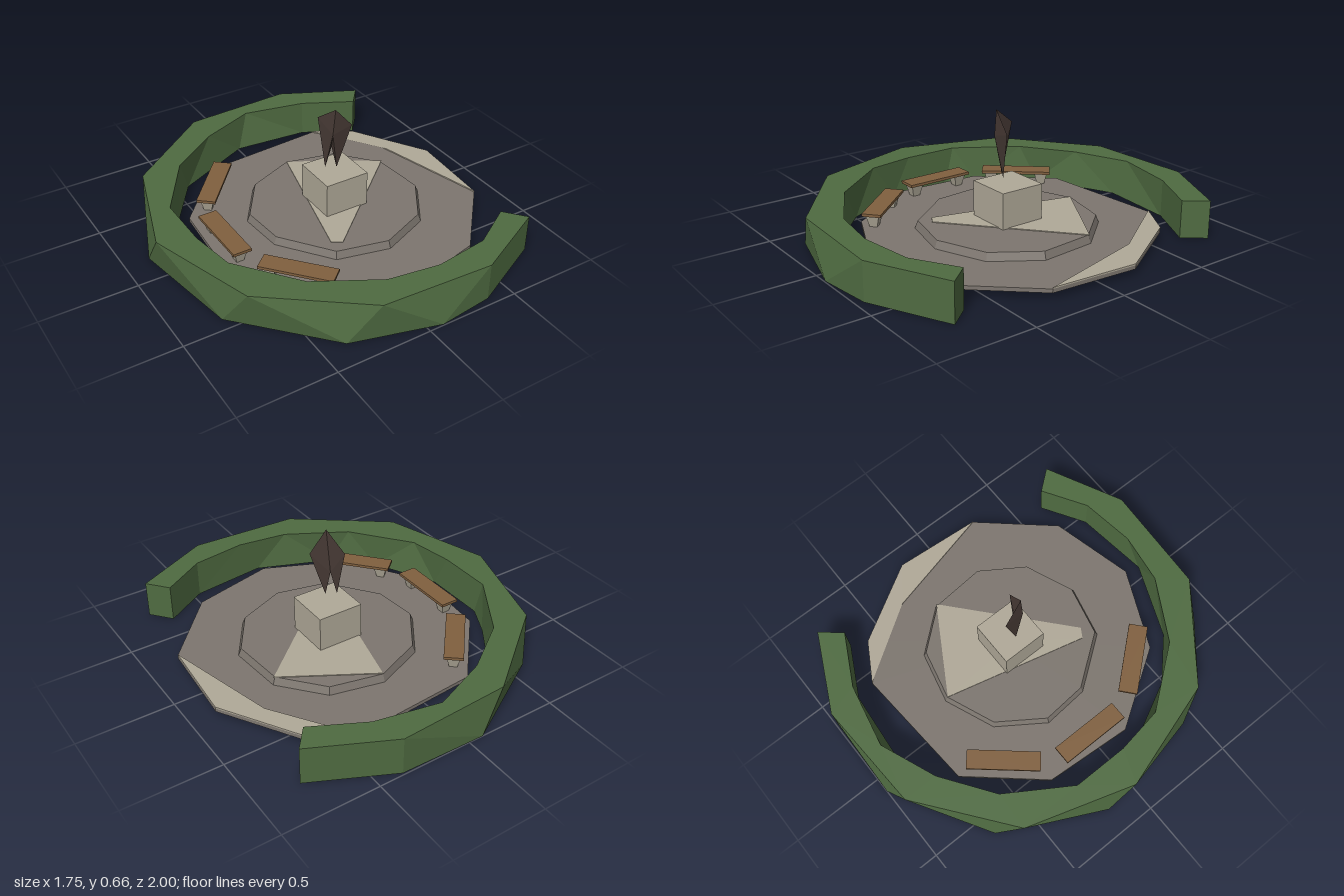
import * as THREE from 'three';

const material = (name, color) => {
  const m = new THREE.MeshStandardMaterial({ color, flatShading: true, side: THREE.DoubleSide });
  m.name = name;
  return m;
};

// Unindexed flat geometry from a list of triangles
function fromTriangles(tris) {
  const g = new THREE.BufferGeometry();
  g.setAttribute('position', new THREE.Float32BufferAttribute(tris.flat(2), 3));
  g.computeVertexNormals();
  return g;
}

// Joins two polylines of different lengths, always taking the shorter diagonal
function strip(a, b) {
  const dist = (p, q) => Math.hypot(p[0] - q[0], p[1] - q[1], p[2] - q[2]);
  const tris = [];
  let i = 0, j = 0;
  while (i < a.length - 1 || j < b.length - 1) {
    const stepA = j === b.length - 1 ||
      (i < a.length - 1 && dist(a[i + 1], b[j]) < dist(a[i], b[j + 1]));
    if (stepA) tris.push([a[i], a[++i], b[j]]);
    else tris.push([a[i], b[j + 1], b[j++]]);
  }
  return tris;
}

const atHeight = (points, y) => points.map(([x, z]) => [x, y, z]);

// Low polygonal slab; the top outline can shrink toward its middle
function slab(points, y0, y1, topScale = 1) {
  const n = points.length;
  const cx = points.reduce((s, p) => s + p[0], 0) / n;
  const cz = points.reduce((s, p) => s + p[1], 0) / n;
  const low = atHeight(points, y0);
  const high = points.map(([x, z]) => [cx + (x - cx) * topScale, y1, cz + (z - cz) * topScale]);
  const tris = [];
  for (let i = 0; i < n; i++) {
    const k = (i + 1) % n;
    tris.push([[cx, y1, cz], high[k], high[i]], [[cx, y0, cz], low[i], low[k]]);
    tris.push([low[i], high[i], high[k]], [low[i], high[k], low[k]]);
  }
  return fromTriangles(tris);
}

// C-shaped hedge with offset corners above and below
function hedgeGeometry() {
  const outerTop = atHeight([[.78, .76], [.37, .96], [-.22, .93], [-.7, .56], [-.88, -.02],
    [-.7, -.59], [-.22, -.96], [.37, -.99], [.78, -.79]], .2);
  const outerLow = atHeight([[.78, .76], [.37, .96], [.08, .995], [-.37, .87], [-.77, .43],
    [-.87, -.17], [-.6, -.7], [-.08, -1], [.37, -.99], [.78, -.79]], 0);
  const innerTop = atHeight([[.69, .65], [.46, .79], [.17, .83], [-.1, .79], [-.42, .61], [-.66, .3],
    [-.7, .05], [-.7, -.25], [-.49, -.58], [-.22, -.77], [.08, -.89], [.42, -.82], [.69, -.68]], .2);
  const innerLow = atHeight([[.69, .65], [.46, .79], [.06, .84], [-.33, .68], [-.53, .49], [-.7, .15],
    [-.7, -.2], [-.62, -.36], [-.42, -.65], [.01, -.855], [.42, -.82], [.69, -.68]], 0);
  const loops = [outerTop, outerLow, innerLow, innerTop];
  const tris = loops.flatMap((loop, i) => strip(loop, loops[(i + 1) % 4]));
  const [a, b, c, d] = loops.map((l) => l[0]);
  const [e, f, g, h] = loops.map((l) => l[l.length - 1]);
  tris.push([a, b, c], [a, c, d], [e, g, f], [e, h, g]);
  return fromTriangles(tris);
}

export function createModel() {
  const green = material('hedge green', 0x4f6b41);
  const grey = material('paving grey', 0x7d766f);
  const stone = material('pale stone', 0xb0a998);
  const wood = material('bench wood', 0x80603f);
  const bronze = material('dark bronze', 0x463934);

  const group = new THREE.Group();
  const add = (name, geometry, mat, parent = group) => {
    const mesh = new THREE.Mesh(geometry, mat);
    mesh.name = name;
    parent.add(mesh);
    return mesh;
  };

  add('hedge', hedgeGeometry(), green);

  // Paved plaza and its raised middle
  add('plaza', slab([[-.26, -.67], [.425, -.72], [.63, -.6], [.875, -.19], [.84, .28], [.52, .64],
    [.07, .75], [-.35, .56], [-.61, .16], [-.575, -.31]], .03, .05), grey);
  add('raisedStep', slab([[.1, -.48], [.38, -.415], [.565, -.195], [.59, .11], [.435, .345],
    [.165, .455], [-.115, .39], [-.315, .12], [-.335, -.13], [-.17, -.37]], .04, .09, .96), grey);

  // Pale stone showing through the paving
  add('plazaStonePatch', slab([[.425, -.72], [.63, -.6], [.875, -.19], [.84, .28], [.67, -.4]],
    .049, .057), stone);
  add('stepStonePatch', slab([[.1, -.46], [.555, -.19], [-.04, .33], [-.09, .3]], .089, .094), stone);

  // Pedestal
  add('pedestal', new THREE.BoxGeometry(.245, .2, .245), stone).position.set(.13, .18, -.015);

  // Statue: two thin angular wings sharing a ridge
  const top = [.1, .66, .035], waist = [.1, .43, 0], back = [.085, .52, .035];
  const wing = (tip, foot) => [
    [top, tip, waist], [top, back, tip], [tip, foot, waist], [tip, back, foot], [back, waist, foot],
  ];
  add('statue', fromTriangles([
    ...wing([.195, .55, .04], [.125, .305, .01]),
    ...wing([.07, .57, -.085], [.075, .305, -.02]),
  ]), bronze);

  // Three benches along the hedge
  for (const [x, z, turn] of [[-.52, -.012, 0], [-.355, -.447, -.71], [-.355, .425, .71]]) {
    const bench = new THREE.Group();
    bench.name = 'bench';
    bench.position.set(x, 0, z);
    bench.rotation.y = turn;
    add('benchSeat', new THREE.BoxGeometry(.1, .015, .38), wood, bench).position.y = .12;
    for (const side of [-1, 1]) {
      const leg = add('benchLeg', new THREE.CylinderGeometry(.05, .025, .075, 4), stone, bench);
      leg.position.set(0, .077, side * .14);
      leg.rotation.y = Math.PI / 4;
    }
    group.add(bench);
  }
  return group;
}
